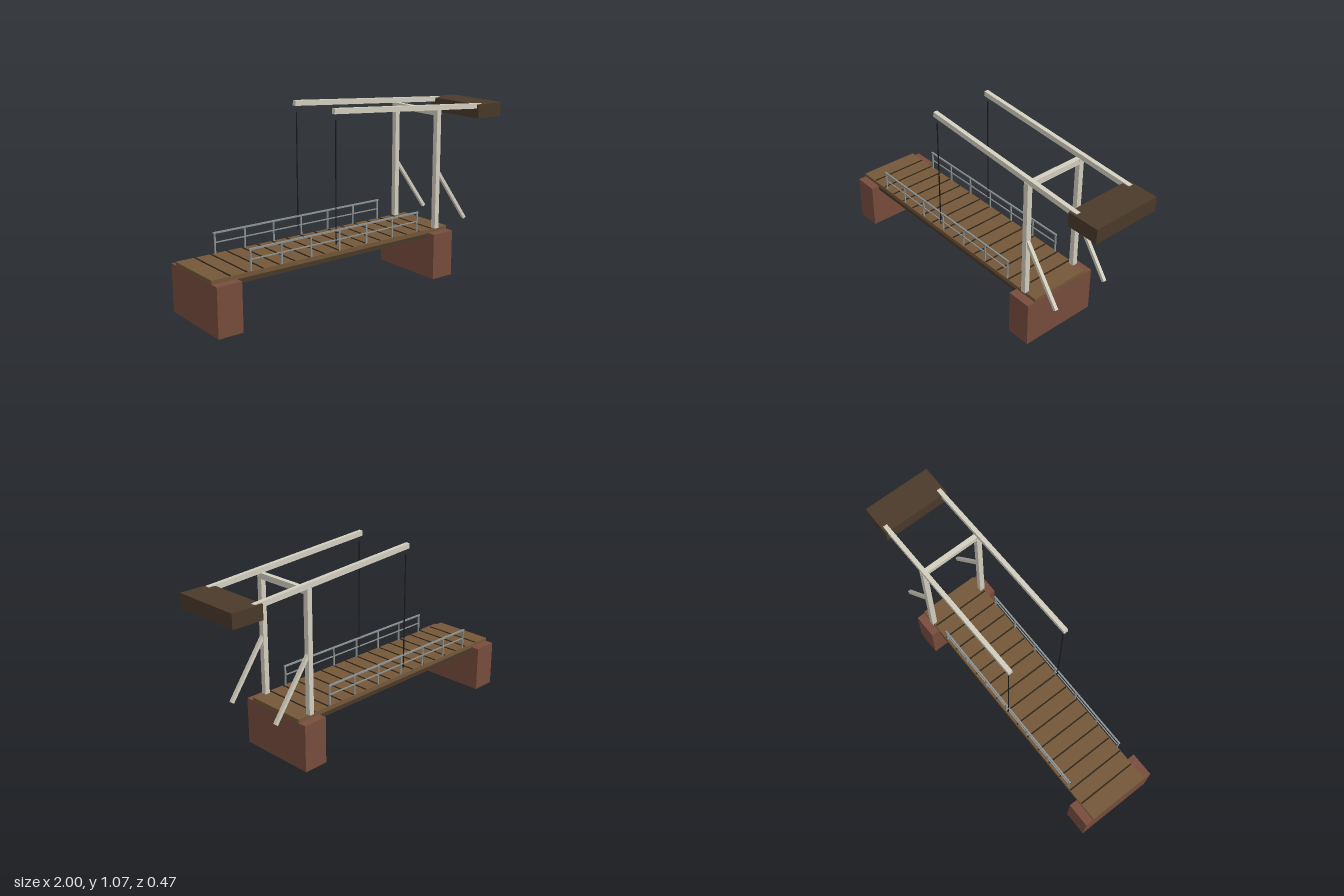
import * as THREE from 'three';

const mat = (name, color) => {
  const m = new THREE.MeshStandardMaterial({ color });
  m.name = name;
  return m;
};

export function createModel() {
  const brick = mat('brick', 0x784d3d);
  const wood = mat('deck wood', 0x745739);
  const darkWood = mat('dark wood', 0x4a3a2a);
  const seam = mat('seam brown', 0x2c2419);
  const paint = mat('cream paint', 0xd4d0c0);
  const steel = mat('rail grey', 0x8d9494);
  const iron = mat('black iron', 0x1c1c1e);

  const bridge = new THREE.Group();
  bridge.name = 'drawbridge';

  const add = (name, geometry, material, x, y, z) => {
    const mesh = new THREE.Mesh(geometry, material);
    mesh.name = name;
    mesh.position.set(x, y, z);
    bridge.add(mesh);
    return mesh;
  };
  // Box given by its lower and upper limits on each axis
  const box = (name, material, [x0, x1], [y0, y1], [z0, z1]) =>
    add(name, new THREE.BoxGeometry(x1 - x0, y1 - y0, z1 - z0), material,
      (x0 + x1) / 2, (y0 + y1) / 2, (z0 + z1) / 2);
  // Square beam between two points in the x-y plane
  const beam = (name, material, [x0, y0], [x1, y1], thick, width, z) => {
    const length = Math.hypot(x1 - x0, y1 - y0);
    const mesh = add(name, new THREE.BoxGeometry(length, thick, width), material,
      (x0 + x1) / 2, (y0 + y1) / 2, z);
    mesh.rotation.z = Math.atan2(y1 - y0, x1 - x0);
  };
  const around = (centre, size) => [centre - size / 2, centre + size / 2];

  // Abutments
  box('leftAbutment', brick, [-1, -0.855], [0, 0.273], [-0.237, 0.237]);
  box('rightAbutment', brick, [0.445, 0.592], [0, 0.273], [-0.237, 0.237]);

  // Deck with raised seams between the planks
  box('deck', wood, [-1, 0.592], [0.27, 0.294], [-0.187, 0.187]);
  for (let i = 0; i < 15; i++) {
    box('plankSeam', seam, around(-0.89 + i * 0.0974, 0.008), [0.293, 0.297], [-0.183, 0.183]);
  }

  for (const side of [-1, 1]) {
    const z = side * 0.18;

    // Girder under the deck edge
    box('girder', darkWood, [-0.87, 0.46], [0.244, 0.271], around(z, 0.009));

    // Railing
    for (let i = 0; i < 7; i++) {
      box('railingPost', steel, around(-0.767 + i * 0.188, 0.008), [0.293, 0.41], around(z, 0.008));
    }
    box('topRail', steel, [-0.776, 0.368], around(0.41, 0.009), around(z, 0.009));
    box('midRail', steel, [-0.772, 0.365], around(0.356, 0.006), around(z, 0.006));

    // Gate post, brace, balance arm and hanger
    box('gatePost', paint, around(0.505, 0.03), [0.293, 0.995], around(z, 0.031));
    beam('brace', paint, [0.505, 0.646], [0.742, 0.316], 0.019, 0.02, z);
    beam('balanceArm', paint, [-0.24, 1.06], [0.853, 0.985], 0.03, 0.025, z);
    add('hangerRod', new THREE.CylinderGeometry(0.0035, 0.0035, 0.68, 8), iron, -0.225, 0.67, z);
  }

  // Gate lintel and counterweight
  box('lintel', paint, around(0.505, 0.028), [0.962, 0.995], [-0.18, 0.18]);
  box('counterweight', darkWood, [0.813, 1], [0.914, 0.997], [-0.205, 0.205]);

  return bridge;
}
